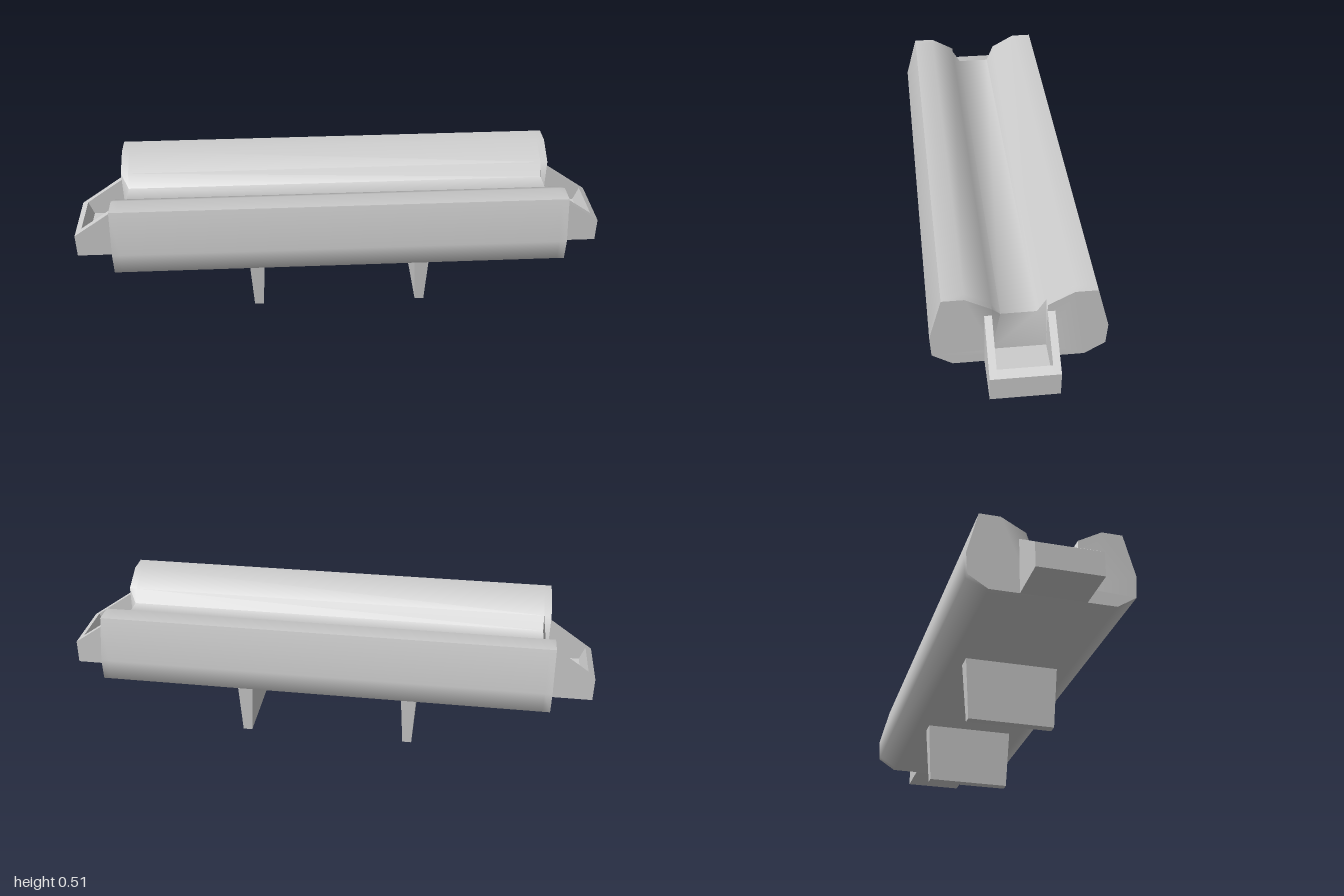
import * as THREE from 'three';
import { toCreasedNormals } from 'three/addons/utils/BufferGeometryUtils.js';

const material = new THREE.MeshStandardMaterial({ color: 0xcccccc });

function add(parent, name, geometry) {
  const mesh = new THREE.Mesh(geometry, material);
  mesh.name = name;
  parent.add(mesh);
  return mesh;
}

// Body outline across the length, as [sideways, height]; only the valley corner varies
function section(valley) {
  const half = [[0.22, 0.23], [0.289, 0.275], [0.294, 0.355], [0.252, 0.513],
    [0.177, 0.513], [0.09, 0.464], valley];
  return [...half, ...half.map(([u, y]) => [-u, y]).reverse()];
}

// Joins equal-sized outlines along x and caps both ends
function loft(stations) {
  const pos = [];
  const put = (s, i) => pos.push(s.x, s.points[i][1], -s.points[i][0]);
  const n = stations[0].points.length;
  for (let k = 0; k + 1 < stations.length; k++) {
    const p = stations[k], q = stations[k + 1];
    for (let i = 0; i < n; i++) {
      const j = (i + 1) % n;
      put(p, i); put(p, j); put(q, j);
      put(p, i); put(q, j); put(q, i);
    }
  }
  const first = stations[0], last = stations[stations.length - 1];
  const outline = last.points.map(([u, y]) => new THREE.Vector2(u, y));
  for (const [a, b, c] of THREE.ShapeUtils.triangulateShape(outline, [])) {
    put(last, a); put(last, b); put(last, c);
    put(first, c); put(first, b); put(first, a);
  }
  const geometry = new THREE.BufferGeometry();
  geometry.setAttribute('position', new THREE.Float32BufferAttribute(pos, 3));
  return toCreasedNormals(geometry, THREE.MathUtils.degToRad(65));
}

// Side outline in x and y, given thickness from z0 to z1
function slab(points, z0, z1) {
  const shape = new THREE.Shape(points.map(([x, y]) => new THREE.Vector2(x, y)));
  return new THREE.ExtrudeGeometry(shape, { depth: z1 - z0, bevelEnabled: false })
    .translate(0, 0, z0);
}

export function createModel() {
  const model = new THREE.Group();
  model.name = 'troughOnLegs';

  // Long body with a valley along the top that drops away at each end
  const inner = section([0.06, 0.414]);
  const end = section([0.09, 0.285]);
  add(model, 'body', loft([
    { x: -0.833, points: end }, { x: -0.805, points: inner },
    { x: 0.805, points: inner }, { x: 0.833, points: end },
  ]));

  // Open end pockets: two sloping cheeks with a lipped floor between them
  const cheek = [[0.833, 0.23], [1, 0.23], [1, 0.32], [0.833, 0.437]];
  const floor = [[0.833, 0.23], [1, 0.23], [1, 0.32], [0.975, 0.3375], [0.956, 0.285], [0.833, 0.285]];
  for (const side of [1, -1]) {
    const pocket = new THREE.Group();
    pocket.name = side > 0 ? 'leftEndPocket' : 'rightEndPocket';
    add(pocket, 'frontCheek', slab(cheek, 0.09, 0.115));
    add(pocket, 'backCheek', slab(cheek, -0.115, -0.09));
    add(pocket, 'pocketFloor', slab(floor, -0.09, 0.09));
    if (side < 0) pocket.rotation.y = Math.PI;
    model.add(pocket);
  }

  // Tapered plate legs
  for (const side of [1, -1]) {
    const geometry = new THREE.BoxGeometry(0.06, 0.23, 0.344);
    const p = geometry.attributes.position;
    for (let i = 0; i < p.count; i++) {
      if (p.getY(i) < 0) {
        p.setX(i, p.getX(i) * 0.58);
        p.setZ(i, p.getZ(i) * 0.925);
      }
    }
    geometry.computeVertexNormals();
    const leg = add(model, side > 0 ? 'leftLeg' : 'rightLeg', geometry);
    leg.position.set(side * 0.316, 0.115, 0);
  }
  return model;
}
